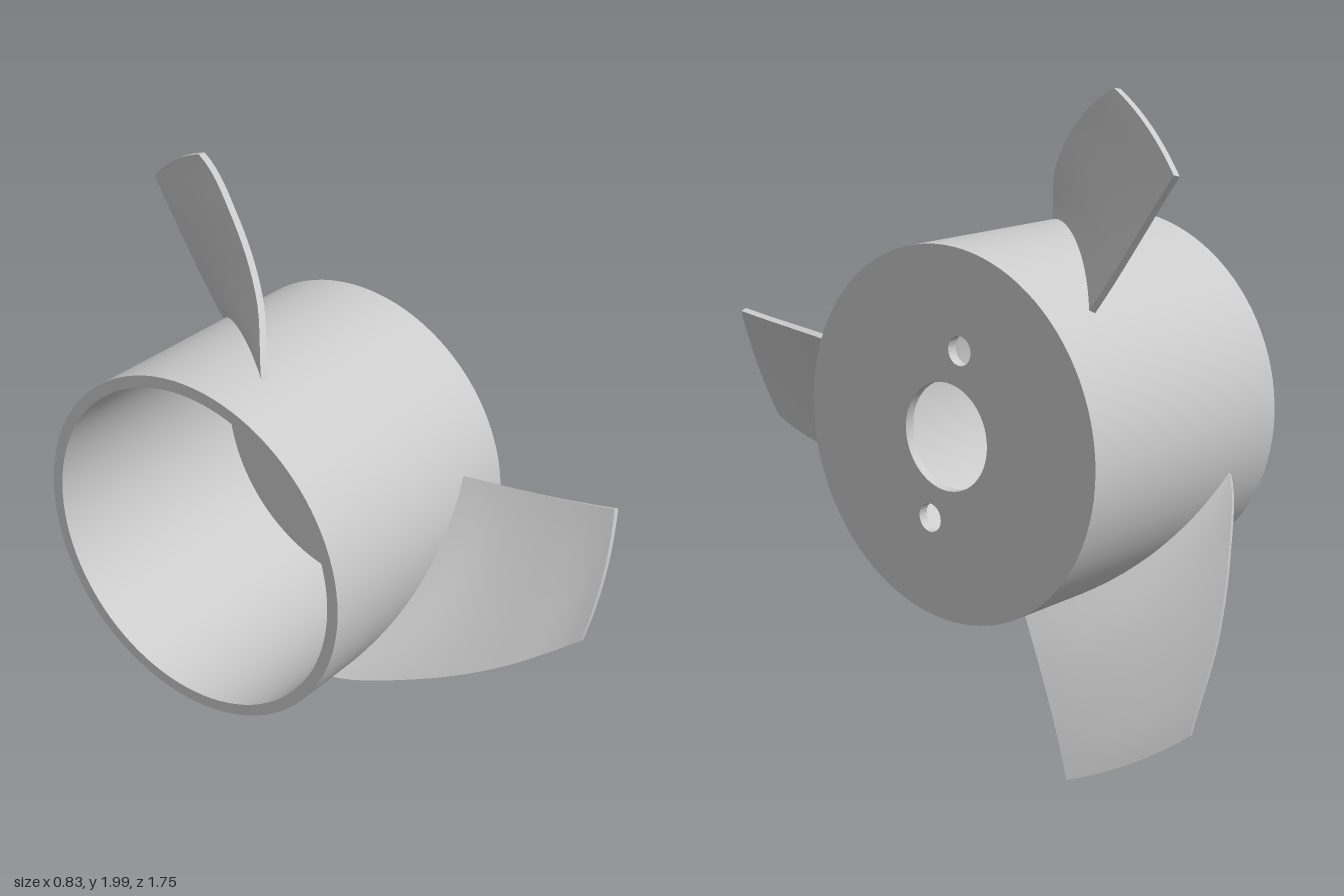
import * as THREE from 'three';
import { toCreasedNormals } from 'three/addons/utils/BufferGeometryUtils.js';

const HUB_R = 0.555, INNER_R = 0.518, HALF = 0.415, PLATE = 0.03;
const TIP_R = 1.058, THICK = 0.02;
const lerp = THREE.MathUtils.lerp;
const deg = THREE.MathUtils.degToRad;

const material = new THREE.MeshStandardMaterial({ color: 0xcccccc, side: THREE.DoubleSide });

function part(name, geometry) {
  const mesh = new THREE.Mesh(geometry, material);
  mesh.name = name;
  return mesh;
}

// Hollow drum around the x axis, open at the -x end
function hubShell() {
  const profile = [
    [INNER_R, HALF], [INNER_R, -HALF], [HUB_R, -HALF], [HUB_R, HALF], [INNER_R, HALF],
  ].map(([r, h]) => new THREE.Vector2(r, h));
  const geo = new THREE.LatheGeometry(profile, 96);
  geo.rotateZ(-Math.PI / 2);
  return toCreasedNormals(geo, deg(30));
}

// End plate with a shaft bore and two bolt holes
function endPlate() {
  const shape = new THREE.Shape().absarc(0, 0, INNER_R, 0, Math.PI * 2);
  for (const [x, y, r] of [[0, 0, 0.16], [0.055, 0.26, 0.043], [-0.065, -0.255, 0.043]]) {
    shape.holes.push(new THREE.Path().absarc(x, y, r, 0, Math.PI * 2, true));
  }
  const geo = new THREE.ExtrudeGeometry(shape, { depth: PLATE, bevelEnabled: false, curveSegments: 48 });
  geo.rotateY(Math.PI / 2);
  geo.translate(HALF - PLATE, 0, 0);
  return toCreasedNormals(geo, deg(30));
}

// Twisted, swept blade: a box bent so that each span station lies on a cylinder
function bladeGeometry() {
  const geo = new THREE.BoxGeometry(1, 1, 1, 20, 20, 1);
  const pos = geo.attributes.position;
  // Leading edge: axial position against span
  const leadX = new THREE.SplineCurve([
    new THREE.Vector2(0, -0.23), new THREE.Vector2(0.3, -0.1),
    new THREE.Vector2(0.61, 0.015), new THREE.Vector2(1, 0.12),
  ]);
  for (let i = 0; i < pos.count; i++) {
    const t = pos.getX(i) + 0.5, s = pos.getY(i) + 0.5;
    const r = lerp(HUB_R - 0.01, TIP_R, s);
    const leadAngle = deg(106 - 44 * s + 7.5 * s * s);
    const trailAngle = deg(45 + 7 * s - 3 * s * s);
    const x0 = leadX.getPoint(s).y;
    const x1 = 0.24 + 0.03 * s * s;
    // Thickness is measured square to the chord
    const dx = x1 - x0, arc = r * (leadAngle - trailAngle);
    const off = pos.getZ(i) * THICK / Math.hypot(dx, arc);
    const x = lerp(x0, x1, t) + off * arc;
    const angle = lerp(leadAngle, trailAngle, t) + off * dx / r;
    pos.setXYZ(i, x, r * Math.sin(angle), -r * Math.cos(angle));
  }
  geo.computeVertexNormals();
  return geo;
}

export function createModel() {
  const model = new THREE.Group();
  model.name = 'propeller';
  model.add(part('hubShell', hubShell()), part('endPlate', endPlate()));

  // Three equal blades
  const blade = bladeGeometry();
  for (let i = 0; i < 3; i++) {
    const mesh = part('blade', blade);
    mesh.rotation.x = i * Math.PI * 2 / 3;
    model.add(mesh);
  }
  model.position.set(0, 1.01, -0.185);

  const root = new THREE.Group();
  root.name = 'propellerModel';
  root.add(model);
  return root;
}
